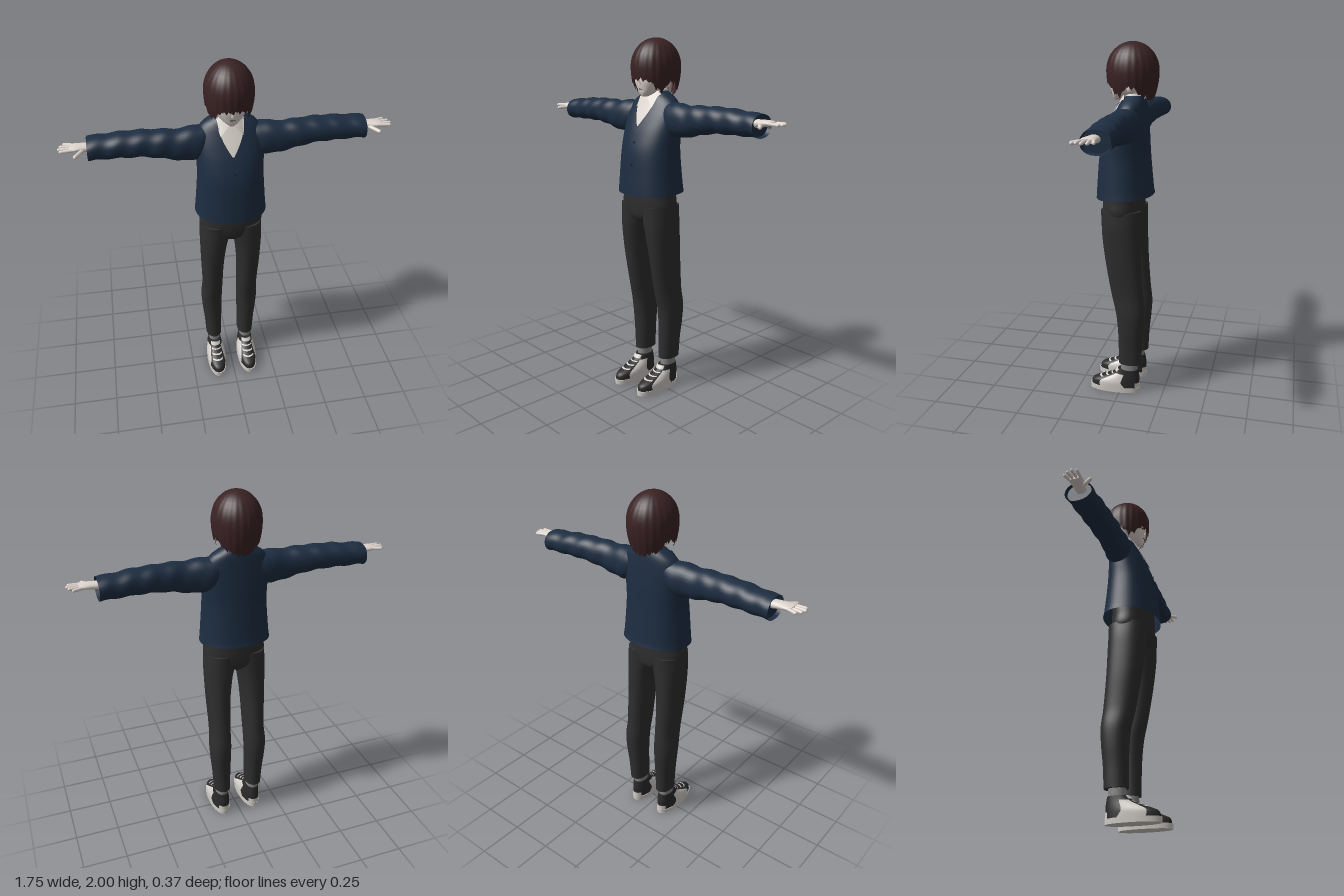
import * as THREE from 'three';

const mat = (name, color, side = THREE.FrontSide) => {
  const m = new THREE.MeshStandardMaterial({ color, side });
  m.name = name;
  return m;
};

// Cross-section row [position, centreA, centreB, radiusA, radiusB] at position t, smoothly interpolated
function rowAt(rows, t) {
  let i = 0;
  while (i < rows.length - 2 && t > rows[i + 1][0]) i++;
  const a = rows[i], b = rows[i + 1], h = b[0] - a[0], s = (t - a[0]) / h;
  const p = rows[Math.max(0, i - 1)], q = rows[Math.min(rows.length - 1, i + 2)];
  return a.map((v, k) => {
    if (k === 0) return t;
    const m0 = (b[k] - p[k]) / (b[0] - p[0]) * h, m1 = (q[k] - v) / (q[0] - a[0]) * h;
    return v * (1 + 2 * s) * (1 - s) ** 2 + m0 * s * (1 - s) ** 2 + b[k] * s * s * (3 - 2 * s) + m1 * s * s * (s - 1);
  });
}
const power = (v) => Math.sign(v) * Math.abs(v) ** 0.91;
function ringPoint(r, angle, axis, off = 0) {
  const a = r[1] + (r[3] + off) * power(Math.cos(angle));
  const b = r[2] + (r[4] + off) * power(Math.sin(angle));
  return axis === 'y' ? [a, r[0], b] : [r[0], b, a];
}
function build(pos, idx) {
  const g = new THREE.BufferGeometry();
  g.setAttribute('position', new THREE.Float32BufferAttribute(pos, 3));
  g.setIndex(idx);
  g.computeVertexNormals();
  return g;
}
// Closed tube through the rows, along y or x
function loft(rows, { axis = 'y', n = 32, steps = 24, caps = [true, true], ripple = 0 } = {}) {
  const pos = [], idx = [], t0 = rows[0][0], t1 = rows.at(-1)[0];
  const ring = (t) => {
    const r = rowAt(rows, t);
    for (let i = 0; i < n; i++) {
      const a = i / n * Math.PI * 2;
      pos.push(...ringPoint(r, a, axis, ripple * Math.sin(t * 55 + 2 * Math.sin(a))));
    }
    return r;
  };
  for (let j = 0; j <= steps; j++) {
    ring(t0 + (t1 - t0) * j / steps);
    if (j < steps) for (let i = 0; i < n; i++) {
      const a = j * n + i, b = j * n + (i + 1) % n;
      idx.push(a, a + n, b, b, a + n, b + n);
    }
  }
  [t0, t1].forEach((t, k) => {
    if (!caps[k]) return;
    const s = pos.length / 3, r = ring(t), c = s + n;
    pos.push(...(axis === 'y' ? [r[1], t, r[2]] : [t, r[2], r[1]]));
    for (let i = 0; i < n; i++) {
      const e = s + (i + 1) % n;
      if (k) idx.push(c, e, s + i); else idx.push(c, s + i, e);
    }
  });
  return build(pos, idx);
}
// Thin panel lying on an upright loft between two angles that may vary with height
function patch(rows, y0, y1, range, off, m = 12, steps = 10) {
  const pos = [], idx = [];
  for (let j = 0; j <= steps; j++) {
    const y = y0 + (y1 - y0) * j / steps, r = rowAt(rows, y), [lo, hi] = range(y, r);
    for (let i = 0; i <= m; i++) {
      pos.push(...ringPoint(r, lo + (hi - lo) * i / m, 'y', off));
      const a = j * (m + 1) + i;
      if (i < m && j < steps) idx.push(a, a + m + 1, a + 1, a + 1, a + m + 1, a + m + 2);
    }
  }
  return build(pos, idx);
}
function mirrored(geo) {
  const g = geo.clone().scale(-1, 1, 1), ix = g.index.array;
  for (let i = 0; i < ix.length; i += 3) [ix[i + 1], ix[i + 2]] = [ix[i + 2], ix[i + 1]];
  return g;
}
function limb(from, to, r) {
  const a = new THREE.Vector3(...from), b = new THREE.Vector3(...to), d = b.clone().sub(a);
  const q = new THREE.Quaternion().setFromUnitVectors(new THREE.Vector3(0, 1, 0), d.clone().normalize());
  const mid = a.add(b).multiplyScalar(0.5);
  return new THREE.CapsuleGeometry(r, d.length() - 2 * r, 4, 10).applyQuaternion(q).translate(mid.x, mid.y, mid.z);
}
const piecewise = (pts, x) => {
  let i = 0;
  while (i < pts.length - 2 && x > pts[i + 1][0]) i++;
  const [a, b] = [pts[i], pts[i + 1]];
  return a[1] + (b[1] - a[1]) * THREE.MathUtils.clamp((x - a[0]) / (b[0] - a[0]), 0, 1);
};
// Bowl of hair whose lower edge is cut into pointed locks
function hairShell(scale, drop, phase) {
  const edge = [[0, 1.782], [35, 1.778], [50, 1.735], [66, 1.72], [82, 1.765], [105, 1.765], [125, 1.72], [180, 1.69]];
  const n = 176, rows = 18, pos = [], idx = [];
  for (let j = 0; j <= rows; j++) for (let i = 0; i < n; i++) {
    const a = i / n * Math.PI * 2, deg = Math.abs(a > Math.PI ? a - 2 * Math.PI : a) * 180 / Math.PI;
    const tooth = Math.abs(((i / 8 + phase) % 1) * 2 - 1);
    const low = piecewise(edge, deg) - drop + tooth * (0.022 + 0.01 * Math.sin(i * 0.31));
    const v = j / rows, phi = Math.min(1, v / 0.55) * Math.PI / 2;
    const y = v < 0.55 ? 1.85 + 0.15 * Math.cos(phi) : 1.85 + (low - 1.85) * (v - 0.55) / 0.45;
    let r = v < 0.55 ? Math.sin(phi) : 1 - 0.2 * ((1.85 - y) / 0.15) ** 2;
    r *= scale * (1 + 0.018 * (0.5 - tooth) * Math.min(1, v * 2));
    pos.push(0.129 * r * Math.sin(a), 1.85 + (y - 1.85) * (y > 1.85 ? scale : 1), -0.042 + 0.142 * r * Math.cos(a));
    if (j < rows) {
      const p = j * n + i, q = j * n + (i + 1) % n;
      idx.push(p, p + n, q, q, p + n, q + n);
    }
  }
  return build(pos, idx);
}

export function createModel() {
  const model = new THREE.Group();
  const DS = THREE.DoubleSide;
  const navy = mat('navy jacket', 0x1d2d41, DS), charcoal = mat('charcoal trousers', 0x2e2e2e);
  const brown = mat('dark brown hair', 0x3a2224, DS), skin = mat('pale skin', 0xdfd5cf);
  const white = mat('off white shirt', 0xddd6cf, DS), black = mat('black shoe', 0x2a2a2b);
  const trim = mat('shoe trim', 0xd2cdc8, DS), grey = mat('grey sock', 0x858585);
  const ink = mat('dark features', 0x2c1c1e);
  const add = (name, geo, m) => {
    const mesh = new THREE.Mesh(geo, m);
    mesh.name = name;
    model.add(mesh);
  };
  const pair = (name, geo, m) => {
    add(name + 'Left', geo, m);
    add(name + 'Right', mirrored(geo), m);
  };
  const F = Math.PI / 2;

  // Jacket body, lapels and buttons
  const torso = [[1.16, 0, -0.005, 0.196, 0.159], [1.25, 0, -0.003, 0.188, 0.151], [1.4, 0, -0.003, 0.178, 0.137],
    [1.5, 0, -0.014, 0.18, 0.119], [1.58, 0, -0.028, 0.18, 0.098], [1.64, 0, -0.04, 0.166, 0.08],
    [1.68, 0, -0.047, 0.135, 0.068], [1.7, 0, -0.05, 0.1, 0.06], [1.72, 0, -0.053, 0.066, 0.05]];
  const body = loft(torso, { n: 48, steps: 40, caps: [false, true] });
  const p = body.attributes.position;
  for (let i = 0; i < p.count; i++) // hem rises slightly towards the back
    if (p.getY(i) < 1.2) p.setY(i, p.getY(i) + 0.02 * THREE.MathUtils.clamp(0.5 - p.getZ(i) / 0.32, 0, 1) * (1.2 - p.getY(i)) / 0.04);
  body.computeVertexNormals();
  add('jacketBody', body, navy);
  const neckline = [[1.535, 0.003], [1.6, 0.036], [1.65, 0.056], [1.7, 0.064]];
  const open = (y, r) => Math.asin(Math.min(0.95, piecewise(neckline, y) / r[3]));
  add('shirtFront', patch(torso, 1.535, 1.705, (y, r) => [F - open(y, r), F + open(y, r)], 0.004), white);
  pair('lapel', patch(torso, 1.5, 1.69, (y, r) => {
    const w = 0.3 * Math.sin(Math.PI * THREE.MathUtils.clamp((y - 1.49) / 0.24, 0, 1));
    return [F - open(y, r) - w, F - open(y, r)];
  }, 0.007), navy);
  for (const y of [1.33, 1.45]) {
    const r = rowAt(torso, y);
    add('jacketButton', new THREE.CylinderGeometry(0.006, 0.006, 0.006, 12).rotateX(F).translate(0.004, y, r[2] + r[4] + 0.001), ink);
  }

  // Shirt collar
  add('collarBand', loft([[1.66, 0, -0.05, 0.078, 0.062], [1.7, 0, -0.05, 0.067, 0.06], [1.73, 0, -0.05, 0.057, 0.055]],
    { steps: 6, caps: [false, false] }), white);
  pair('collarFlap', build([0.006, 1.685, 0.028, 0.058, 1.635, 0.05, 0.086, 1.69, -0.015, 0.052, 1.728, -0.005],
    [0, 1, 3, 1, 2, 3]), white);

  // Sleeves with gentle folds and a recessed cuff
  const sleeve = [[0.1, -0.045, 1.59, 0.058, 0.07], [0.18, -0.032, 1.575, 0.078, 0.09], [0.25, -0.026, 1.57, 0.07, 0.085],
    [0.35, -0.028, 1.582, 0.071, 0.076], [0.45, -0.036, 1.59, 0.073, 0.068], [0.55, -0.04, 1.59, 0.074, 0.065],
    [0.65, -0.045, 1.585, 0.073, 0.06], [0.73, -0.046, 1.582, 0.074, 0.059]];
  pair('sleeve', loft(sleeve, { axis: 'x', steps: 48, caps: [true, false], ripple: 0.0025 }), navy);
  pair('cuffLining', loft([[0.69, -0.046, 1.583, 0.066, 0.053], [0.712, -0.046, 1.583, 0.067, 0.054]], { axis: 'x', steps: 1 }), navy);

  // Hands
  pair('palm', loft([[0.69, -0.035, 1.592, 0.03, 0.022], [0.75, -0.032, 1.597, 0.033, 0.018], [0.79, -0.03, 1.6, 0.038, 0.014],
    [0.815, -0.03, 1.6, 0.036, 0.01]], { axis: 'x', n: 20, steps: 10 }), skin);
  [[0.852, -0.058, -0.074], [0.87, -0.04, -0.049], [0.877, -0.02, -0.022], [0.868, -0.002, 0.004]].forEach(([x, z0, z1]) =>
    pair('finger', limb([0.795, 1.6, z0], [x, 1.598, z1], 0.0085), skin));
  pair('thumb', limb([0.745, 1.593, -0.015], [0.796, 1.585, 0.054], 0.0105), skin);

  // Trousers
  add('trouserSeat', loft([[0.985, 0, 0, 0.02, 0.06], [1.02, 0, 0, 0.1, 0.1], [1.07, 0, 0.002, 0.168, 0.112], [1.16, 0, 0.005, 0.17, 0.114],
    [1.26, 0, 0.004, 0.165, 0.11]], { n: 40 }), charcoal);
  pair('trouserLeg', loft([[0.18, 0.1, -0.055, 0.047, 0.066], [0.3, 0.103, -0.057, 0.052, 0.069], [0.4, 0.107, -0.06, 0.058, 0.075],
    [0.5, 0.108, -0.057, 0.062, 0.083], [0.6, 0.104, -0.04, 0.059, 0.09], [0.8, 0.104, -0.015, 0.066, 0.1],
    [0.95, 0.097, -0.003, 0.077, 0.108], [1.02, 0.089, 0, 0.086, 0.11], [1.1, 0.086, 0.002, 0.084, 0.112]], { steps: 40 }), charcoal);

  // Socks and shoes
  pair('sock', loft([[0.1, 0.1, -0.048, 0.035, 0.05], [0.2, 0.1, -0.05, 0.035, 0.047]], { steps: 4 }), grey);
  const upper = [[0.025, 0.098, 0.035, 0.054, 0.145], [0.06, 0.098, 0.028, 0.054, 0.138], [0.085, 0.098, -0.003, 0.049, 0.108],
    [0.11, 0.099, -0.031, 0.043, 0.076], [0.14, 0.1, -0.043, 0.039, 0.058]];
  pair('shoeSole', loft([[0, 0.098, 0.035, 0.056, 0.149], [0.028, 0.098, 0.035, 0.057, 0.15]], { n: 40, steps: 2 }), trim);
  pair('shoeUpper', loft(upper, { n: 40 }), black);
  for (const side of [0, Math.PI]) {
    const s = side ? -1 : 1;
    pair('shoeSidePanel', patch(upper, 0.028, 0.115, (y) => {
      const k = (y - 0.028) / 0.087, a = side + s * (-0.45 + 0.55 * k), b = side + s * (0.55 + 0.3 * k);
      return [Math.min(a, b), Math.max(a, b)];
    }, 0.003), trim);
  }
  pair('shoeHeelPanel', patch(upper, 0.028, 0.06, () => [-F - 0.6, -F + 0.6], 0.003), trim);
  for (const y of [0.078, 0.092, 0.106]) pair('shoeLace', patch(upper, y, y + 0.004, () => [F - 0.6, F + 0.6], 0.005, 8, 2), trim);
  pair('shoeTongue', patch(upper, 0.122, 0.14, () => [F - 0.7, F + 0.7], 0.004), trim);

  // Neck, head and face
  add('neck', loft([[1.64, 0, -0.048, 0.05, 0.046], [1.7, 0, -0.045, 0.044, 0.042], [1.78, 0, -0.04, 0.046, 0.046]], { steps: 8 }), skin);
  add('head', loft([[1.692, 0, 0.04, 0.014, 0.016], [1.705, 0, 0.022, 0.035, 0.042], [1.73, 0, 0.0, 0.063, 0.07], [1.77, 0, -0.012, 0.088, 0.09],
    [1.82, 0, -0.022, 0.1, 0.1], [1.9, 0, -0.035, 0.1, 0.1], [1.95, 0, -0.04, 0.07, 0.07]], { n: 36, steps: 28 }), skin);
  add('nose', new THREE.ConeGeometry(0.01, 0.032, 8).rotateX(0.35).translate(0, 1.768, 0.079), skin);
  add('mouth', new THREE.BoxGeometry(0.026, 0.003, 0.004).translate(0, 1.731, 0.0705), ink);
  pair('eye', new THREE.SphereGeometry(0.013, 12, 8).scale(1, 0.5, 0.25).rotateY(0.4).translate(0.036, 1.785, 0.071), ink);
  pair('ear', new THREE.SphereGeometry(0.02, 14, 10).scale(0.45, 1.3, 0.8).translate(0.093, 1.765, -0.045), skin);

  // Layered hair
  add('hairOuter', hairShell(1, 0, 0), brown);
  add('hairInner', hairShell(0.965, 0.012, 0.5), brown);
  return model;
}
